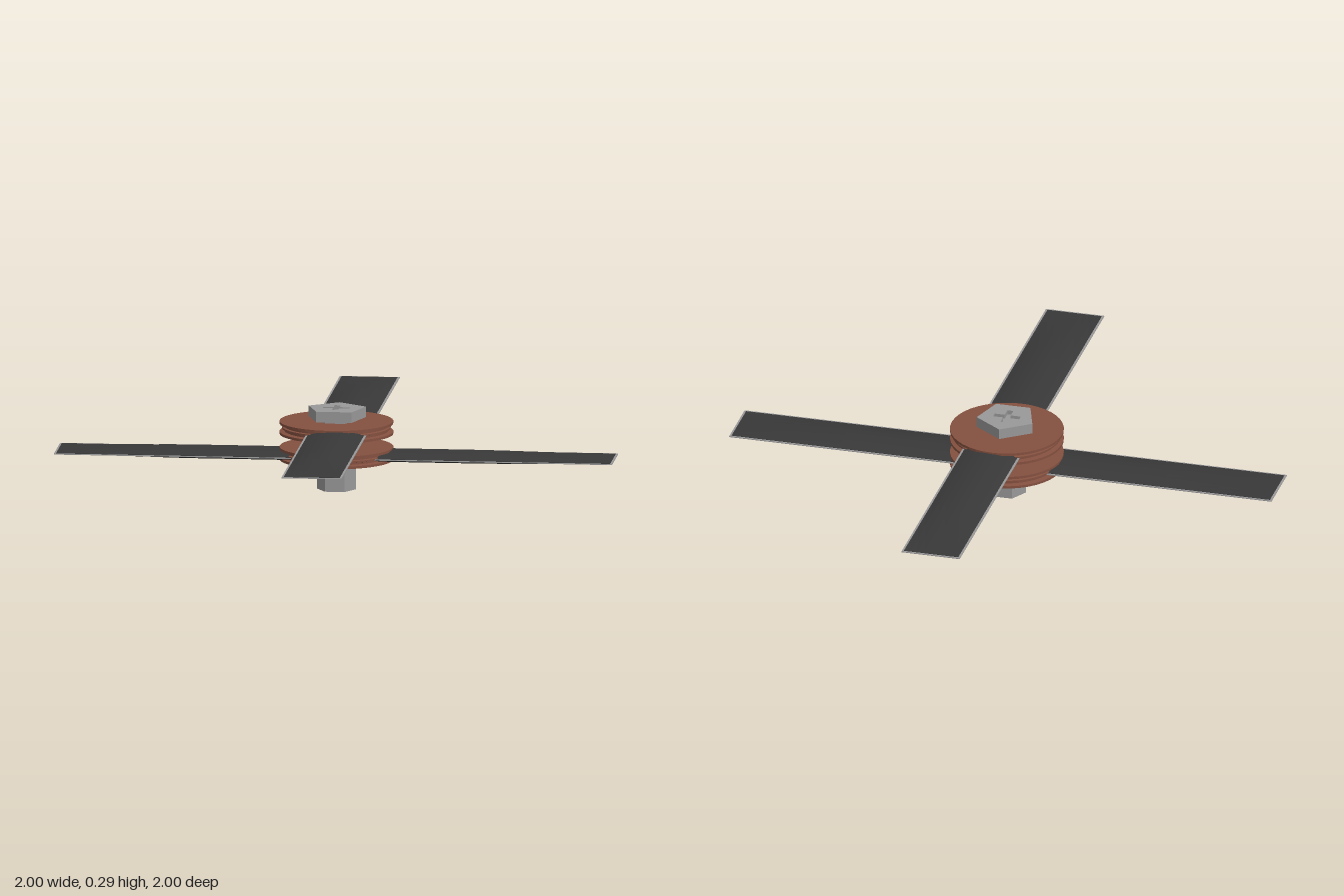
import * as THREE from 'three';

const steel = new THREE.MeshStandardMaterial({ color: 0x999999, flatShading: true });
const dark = new THREE.MeshStandardMaterial({ color: 0x383838, flatShading: true });
const clay = new THREE.MeshStandardMaterial({ color: 0x84503f, flatShading: true });

function add(parent, name, geometry, material, y = 0) {
  const mesh = new THREE.Mesh(geometry, material);
  mesh.name = name;
  mesh.position.y = y;
  parent.add(mesh);
  return mesh;
}

// Lens-shaped bar along x: a flat box whose thickness fades to its edges and tips
function lensBar(length, width, thickness, edge) {
  const g = new THREE.BoxGeometry(length, 1, width, 20, 1, 8);
  const p = g.attributes.position;
  for (let i = 0; i < p.count; i++) {
    const u = Math.abs(p.getX(i)) / (length / 2);
    const v = p.getZ(i) / (width / 2);
    const along = u < 0.55 ? 1 : 1 - Math.pow((u - 0.55) / 0.45, 1.3);
    const h = edge + (thickness - edge) * along * (1 - v * v);
    p.setY(i, Math.sign(p.getY(i)) * h / 2);
  }
  g.computeVertexNormals();
  return g;
}

// Dark blade with a thin bright cutting edge around it
function blade(name) {
  const group = new THREE.Group();
  group.name = name;
  add(group, 'bladeBody', lensBar(1.985, 0.2, 0.04, 0.005), dark);
  add(group, 'cuttingEdge', new THREE.BoxGeometry(2, 0.003, 0.215), steel);
  return group;
}

// Grooved clamp disc
function clampDisc() {
  const profile = [
    [0, -0.023], [0.203, -0.023], [0.203, -0.014], [0.186, -0.011],
    [0.186, -0.005], [0.194, -0.003], [0.194, 0.003], [0.186, 0.005],
    [0.186, 0.011], [0.203, 0.014], [0.203, 0.023], [0, 0.023],
  ].map(([r, y]) => new THREE.Vector2(r, y));
  return new THREE.LatheGeometry(profile, 40);
}

// Pentagonal head with a cross-shaped recess
function headGeometry(depth) {
  const shape = new THREE.Shape();
  for (let i = 0; i < 5; i++) {
    const a = Math.PI / 2 + i * Math.PI * 2 / 5;
    const x = 0.108 * Math.cos(a), y = 0.108 * Math.sin(a);
    if (i) shape.lineTo(x, y); else shape.moveTo(x, y);
  }
  const a = 0.048, b = 0.011;
  const cross = [[a, b], [b, b], [b, a], [-b, a], [-b, b], [-a, b],
    [-a, -b], [-b, -b], [-b, -a], [b, -a], [b, -b], [a, -b]];
  shape.holes.push(new THREE.Path(cross.map(([x, y]) => new THREE.Vector2(x, y))));
  return new THREE.ExtrudeGeometry(shape, { depth, bevelEnabled: false }).rotateX(-Math.PI / 2);
}

export function createModel() {
  const model = new THREE.Group();
  model.name = 'crossBladeRotor';

  // Bolt: hexagonal shaft, solid head base and recessed head top
  const bolt = new THREE.Group();
  bolt.name = 'bolt';
  add(bolt, 'shaft', new THREE.CylinderGeometry(0.07, 0.07, 0.26, 6).rotateY(Math.PI / 6), steel, 0.13);
  add(bolt, 'headBase', new THREE.CylinderGeometry(0.108, 0.108, 0.022, 5).rotateY(Math.PI), steel, 0.267);
  add(bolt, 'headTop', headGeometry(0.016), steel, 0.278);
  model.add(bolt);

  // Two crossed rotors, each a blade held in a clamp disc
  [['lower', 0.131, 0], ['upper', 0.224, Math.PI / 2]].forEach(([name, y, turn]) => {
    const rotor = new THREE.Group();
    rotor.name = name + 'Rotor';
    add(rotor, 'clampDisc', clampDisc(), clay, y);
    const bar = blade(name + 'Blade');
    bar.rotation.y = turn;
    bar.position.set(turn ? 0.015 : 0, y - 0.002, turn ? 0 : 0.015);
    rotor.add(bar);
    model.add(rotor);
  });
  return model;
}
